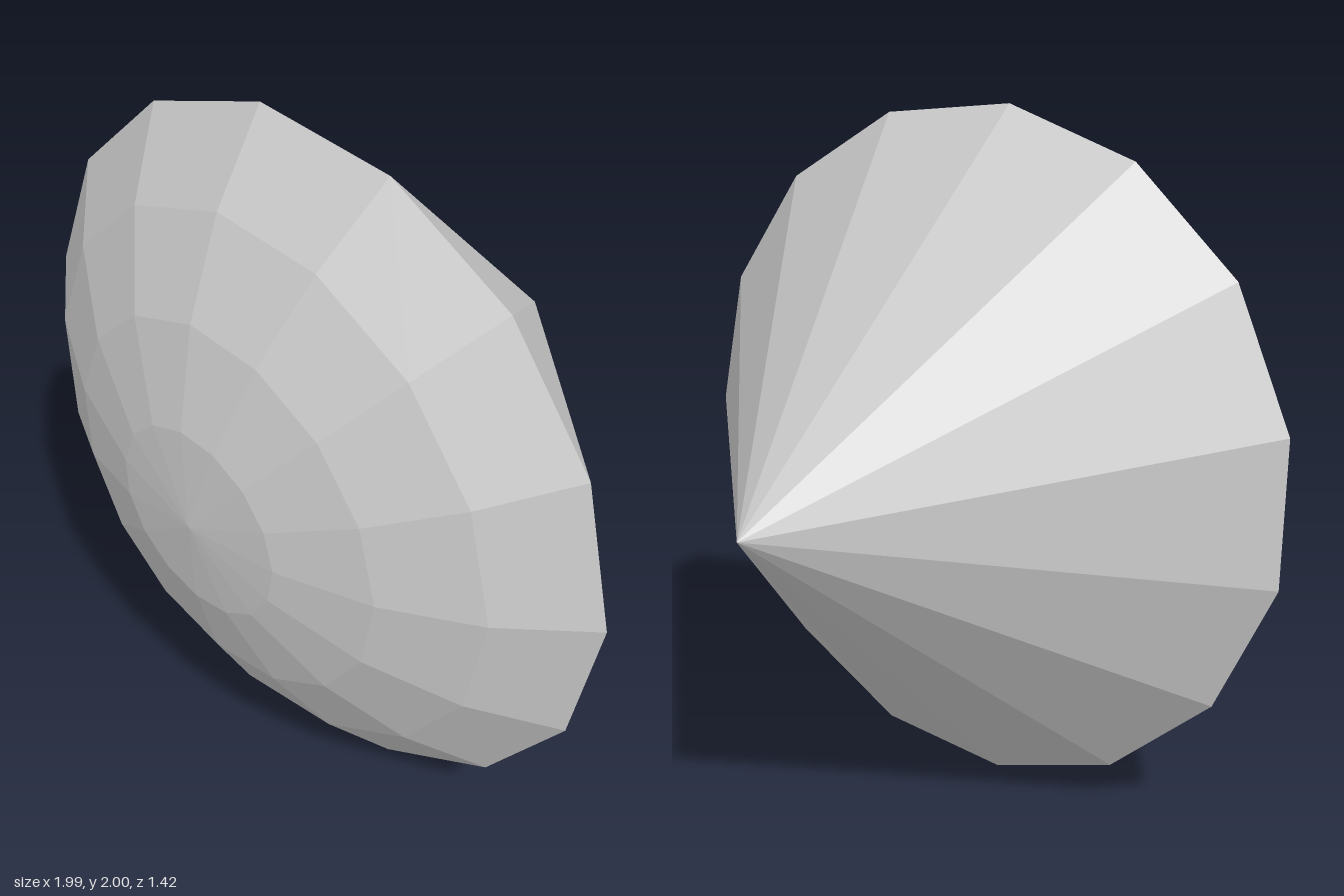
import * as THREE from 'three';

const SIDES = 15;
const RADIUS = 1.422; // sphere radius, measured from the cone tip
const HALF_ANGLE = Math.PI / 4;
const RINGS = 4;

// Point of the cap's arc at an angle from the axis, with the tip at the origin
const arcPoint = (a) => new THREE.Vector2(RADIUS * Math.sin(a), RADIUS * Math.cos(a));

// Faceted solid of revolution around z, with a corner on +x
function turned(name, points, material) {
  const geometry = new THREE.LatheGeometry(points, SIDES, Math.PI / 2);
  geometry.rotateX(Math.PI / 2);
  const mesh = new THREE.Mesh(geometry, material);
  mesh.name = name;
  return mesh;
}

export function createModel() {
  const group = new THREE.Group();
  group.name = 'sphericalSector';
  const material = new THREE.MeshStandardMaterial({ color: 0xcccccc, flatShading: true });

  // Cone from the rear tip to the rim
  group.add(turned('cone', [new THREE.Vector2(0, 0), arcPoint(HALF_ANGLE)], material));

  // Domed cap from the rim to the front pole
  const cap = [];
  for (let i = RINGS; i > 0; i--) cap.push(arcPoint((HALF_ANGLE * i) / RINGS));
  cap.push(new THREE.Vector2(0, RADIUS));
  group.add(turned('domeCap', cap, material));

  // An odd number of sides shifts the axis slightly off centre
  group.position.set(-0.011, 1, -RADIUS / 2);
  return group;
}
